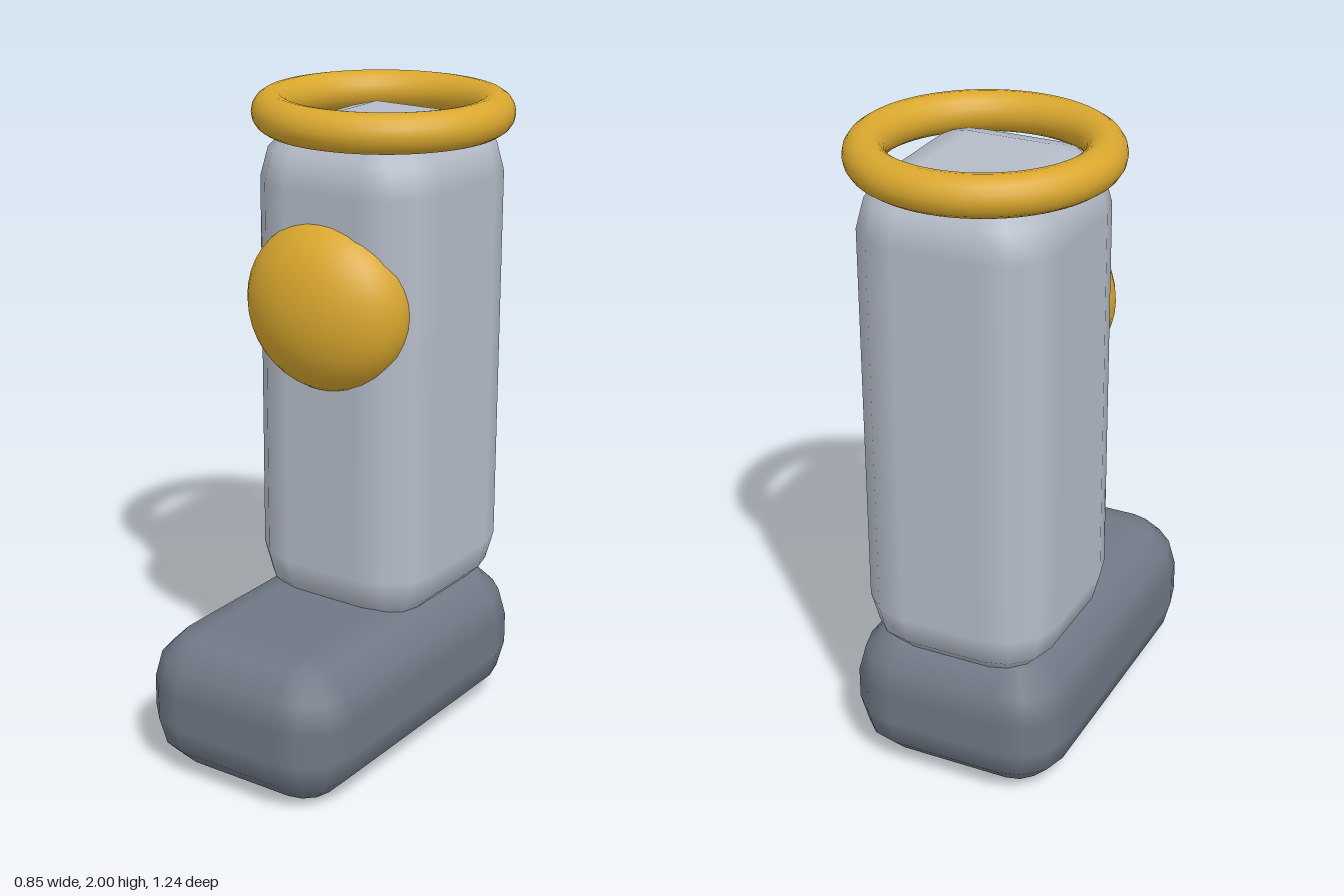
import * as THREE from 'three';

// Smooth rounded box: a sphere whose eight octants are pushed apart,
// each rounded edge having three segments
function roundedBox(hx, hy, hz, r) {
  const g = new THREE.SphereGeometry(1, 16, 9);
  const pos = g.attributes.position, nor = g.attributes.normal;
  for (let j = 0; j <= 9; j++) {
    const cap = j === 0 || j === 9;
    const step = j < 5 ? Math.max(j - 1, 0) : Math.min(j - 2, 6);
    const phi = step * Math.PI / 6;
    const sy = j < 5 ? 1 : -1;
    for (let i = 0; i <= 16; i++) {
      const k = i % 16, q = Math.floor(k / 4);
      const a = (q + (k % 4) / 3) * Math.PI / 2;
      const mid = (q + 0.5) * Math.PI / 2;
      const nx = -Math.cos(a) * Math.sin(phi);
      const ny = Math.cos(phi);
      const nz = Math.sin(a) * Math.sin(phi);
      const cx = cap ? 0 : -Math.sign(Math.cos(mid)) * (hx - r);
      const cz = cap ? 0 : Math.sign(Math.sin(mid)) * (hz - r);
      const n = j * 17 + i;
      pos.setXYZ(n, cx + nx * r, sy * (hy - r) + ny * r, cz + nz * r);
      nor.setXYZ(n, nx, ny, nz);
    }
  }
  return g;
}

export function createModel() {
  const model = new THREE.Group();
  model.name = 'armouredBoot';

  const material = (name, color) => {
    const m = new THREE.MeshStandardMaterial({ color });
    m.name = name;
    return m;
  };
  const steel = material('lightSteel', 0xb4bcc8);
  const slate = material('darkSlate', 0x6f7885);
  const gold = material('gold', 0xd9a72e);

  // The whole leg is turned slightly outwards
  const leg = new THREE.Group();
  leg.name = 'leg';
  leg.position.set(0.0125, 0, 0.0125);
  leg.rotation.y = THREE.MathUtils.degToRad(10);
  model.add(leg);

  const add = (name, geometry, mat, x, y, z) => {
    const mesh = new THREE.Mesh(geometry, mat);
    mesh.name = name;
    mesh.position.set(x, y, z);
    leg.add(mesh);
    return mesh;
  };

  // Foot and shin
  add('foot', roundedBox(0.35, 0.225, 0.585, 0.175), slate, 0, 0.225, 0);
  add('shin', roundedBox(0.305, 0.775, 0.33, 0.18), steel, 0, 1.155, -0.246);

  // Flattened knee guard
  const knee = add('kneeGuard', new THREE.SphereGeometry(1, 32, 20), gold, 0, 1.405, 0.038);
  knee.scale.set(0.272, 0.262, 0.176);

  // Ring round the top
  const ring = add('topRing', new THREE.TorusGeometry(0.335, 0.06, 16, 64), gold, 0, 1.94, -0.246);
  ring.rotation.x = Math.PI / 2;

  return model;
}
